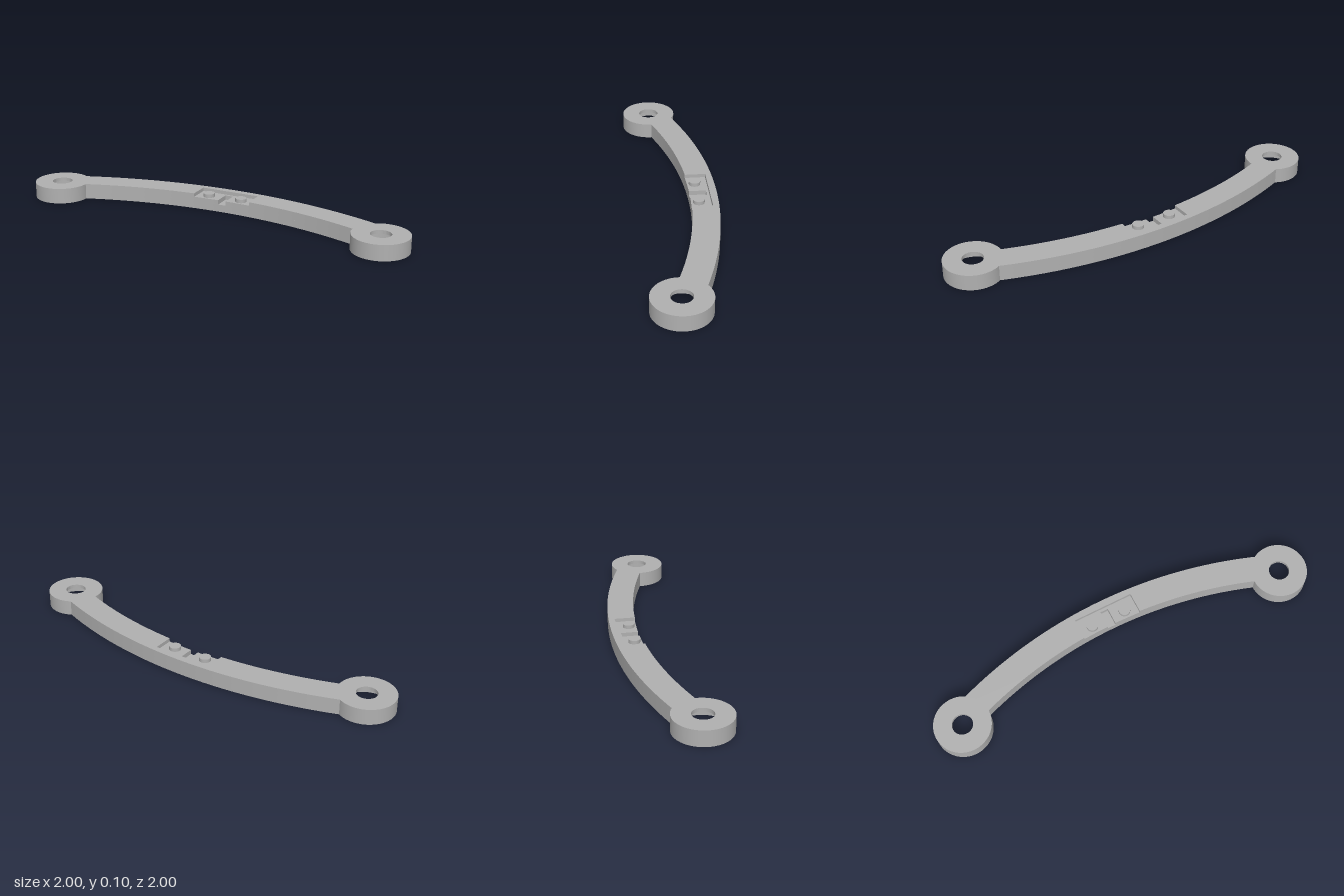
import * as THREE from 'three';
import { toCreasedNormals } from 'three/addons/utils/BufferGeometryUtils.js';

// Local frame: x runs along the chord between the rings, -z points to the bulge of the arc.
const HEIGHT = 0.104, FLOOR = 0.08, SLOT_FLOOR = 0.05;
const RING_X = 1.1526, RING_R = 0.185, BORE_R = 0.067, CAVITY_R = 0.17;
const ARC_CENTRE = -2.706, INNER_R = 2.88, OUTER_R = 3.055;
const SHIFT = -0.006; // offset of the pocket along the arm

const onArc = (r, a) => new THREE.Vector2(Math.sin(a) * r, Math.cos(a) * r + ARC_CENTRE);

// Angle at which an arc of radius r meets the ring wall
function meetAngle(r, wall) {
  const d = Math.hypot(RING_X, ARC_CENTRE);
  return Math.atan2(RING_X, -ARC_CENTRE) - Math.acos((r * r + d * d - wall * wall) / (2 * r * d));
}

// Half of the arm outline: notch, inner arc, concave end, outer arc to the apex
function halfOutline(notch, depth) {
  const pts = [], wall = 0.183, n = 32;
  const inner = meetAngle(INNER_R, wall), outer = meetAngle(OUTER_R, wall);
  if (notch > 0) pts.push(new THREE.Vector2(notch, depth));
  const start = Math.asin(notch / INNER_R);
  for (let i = 0; i <= n; i++) pts.push(onArc(INNER_R, start + (inner - start) * i / n));
  const ringAngle = (p) => (Math.atan2(p.y, p.x - RING_X) + 2 * Math.PI) % (2 * Math.PI);
  const a0 = ringAngle(onArc(INNER_R, inner)), a1 = ringAngle(onArc(OUTER_R, outer));
  for (let i = 1; i < 8; i++) {
    const a = a0 + (a1 - a0) * i / 8;
    pts.push(new THREE.Vector2(RING_X + Math.cos(a) * wall, Math.sin(a) * wall));
  }
  for (let i = 0; i <= n; i++) pts.push(onArc(OUTER_R, outer * (1 - i / n)));
  return pts;
}

// One horizontal layer of the arm, with an optional notch cut in from the inner edge
function armLayer(y0, y1, halfWidth = 0, depth = 0) {
  const cut = halfWidth > 0;
  const right = halfOutline(cut ? halfWidth + SHIFT : 0, depth);
  const left = halfOutline(cut ? halfWidth - SHIFT : 0, depth)
    .map((p) => new THREE.Vector2(-p.x, p.y)).reverse();
  left.shift(); // the apex is shared
  if (!cut) left.pop(); // so is the middle of the inner arc
  const geo = new THREE.ExtrudeGeometry(new THREE.Shape([...right, ...left]),
    { depth: y1 - y0, bevelEnabled: false });
  geo.rotateX(-Math.PI / 2).translate(0, y0, 0);
  return toCreasedNormals(geo, 0.5);
}

export function createModel() {
  const model = new THREE.Group();
  model.name = 'curvedHandle';
  const grey = new THREE.MeshStandardMaterial({ color: 0xb0b0b0 });
  grey.name = 'grey';

  const add = (name, geo, x = 0, y = 0, z = 0) => {
    const mesh = new THREE.Mesh(geo, grey);
    mesh.name = name;
    mesh.position.set(x, y, z);
    model.add(mesh);
  };

  // Curved arm: solid base, layer with the small slot, layer with the pocket
  add('armBase', armLayer(0, SLOT_FLOOR));
  add('armSlotLayer', armLayer(SLOT_FLOOR, FLOOR, 0.027, 0.286));
  add('armPocketLayer', armLayer(FLOOR, HEIGHT, 0.203, 0.303));

  // End rings, hollow underneath, with a bore through the thin top
  const profile = [
    [CAVITY_R, 0], [RING_R, 0], [RING_R, HEIGHT], [BORE_R, HEIGHT],
    [BORE_R, FLOOR], [CAVITY_R, FLOOR], [CAVITY_R, 0],
  ].map(([r, y]) => new THREE.Vector2(r, y));
  const ring = toCreasedNormals(new THREE.LatheGeometry(profile, 96), 0.5);

  // Studs standing in the pocket
  const stud = new THREE.CylinderGeometry(0.038, 0.038, HEIGHT - FLOOR, 40);

  for (const [side, s] of [['left', 1], ['right', -1]]) {
    add(side + 'Ring', ring, s * RING_X);
    add(side + 'Stud', stud, SHIFT + s * 0.118, (HEIGHT + FLOOR) / 2, -0.222);
  }

  model.rotation.y = -Math.PI / 4;
  const root = new THREE.Group();
  root.name = 'model';
  root.add(model);
  return root;
}
